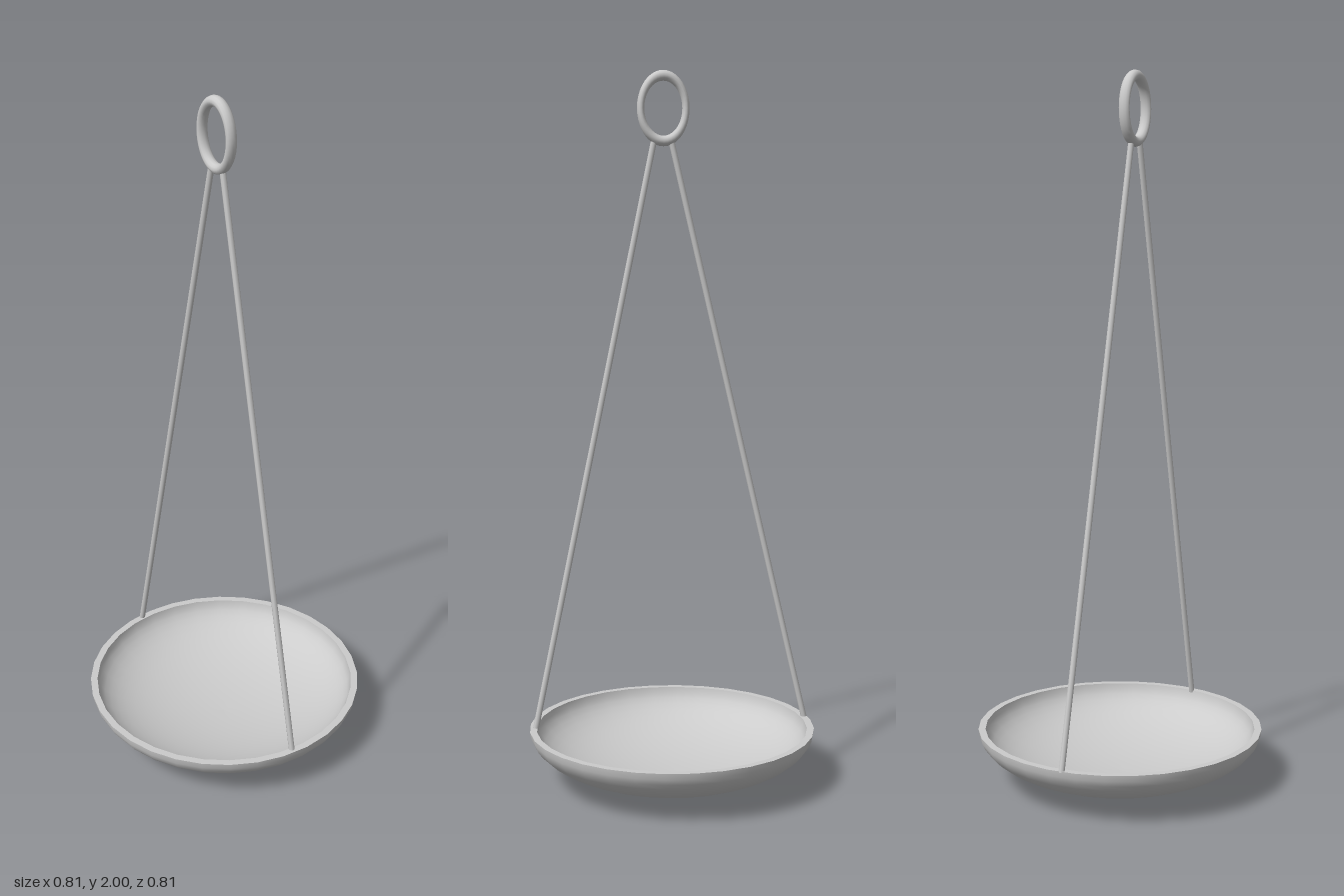
import * as THREE from 'three';

const material = new THREE.MeshStandardMaterial({ color: 0xcccccc });

function add(group, name, geometry) {
  const mesh = new THREE.Mesh(geometry, material);
  mesh.name = name;
  group.add(mesh);
  return mesh;
}

// Points of a quarter ellipse, from the bottom centre out to the rim
function bowlCurve(radius, bottom, rim, steps = 14) {
  return Array.from({ length: steps + 1 }, (_, i) => {
    const a = (i / steps) * Math.PI / 2;
    return new THREE.Vector2(radius * Math.sin(a), rim - (rim - bottom) * Math.cos(a));
  });
}

export function createModel() {
  const model = new THREE.Group();
  model.name = 'hangingPan';

  // Shallow pan: outer shell, inner shell and flat rim, kept apart for crisp edges
  const rimY = 0.155, outer = 0.406, inner = 0.386, sides = 32;
  const pan = new THREE.Group();
  pan.name = 'pan';
  model.add(pan);
  add(pan, 'panOutside', new THREE.LatheGeometry(bowlCurve(outer, 0, rimY), sides));
  add(pan, 'panInside', new THREE.LatheGeometry(bowlCurve(inner, 0.018, rimY).reverse(), sides));
  add(pan, 'panRim', new THREE.RingGeometry(inner, outer, sides).rotateX(-Math.PI / 2).translate(0, rimY, 0));

  // Two slanted rods from the rim up to the ring
  const rods = [
    ['rightRod', [-0.396, 0.15, 0.037], [-0.004, 1.81, 0.037]],
    ['leftRod', [0.387, 0.15, 0.041], [0.044, 1.81, 0.037]],
  ];
  for (const [name, from, to] of rods) {
    const a = new THREE.Vector3(...from), b = new THREE.Vector3(...to);
    const rod = add(model, name, new THREE.CylinderGeometry(0.0085, 0.0085, a.distanceTo(b), 8));
    rod.position.addVectors(a, b).multiplyScalar(0.5);
    rod.quaternion.setFromUnitVectors(new THREE.Vector3(0, 1, 0), b.sub(a).normalize());
  }

  // Oval hanging ring
  const ring = add(model, 'ring', new THREE.TorusGeometry(0.0885, 0.0145, 12, 40));
  ring.scale.set(0.71, 1, 1.1);
  ring.position.set(0.018, 1.897, 0.037);

  return model;
}
